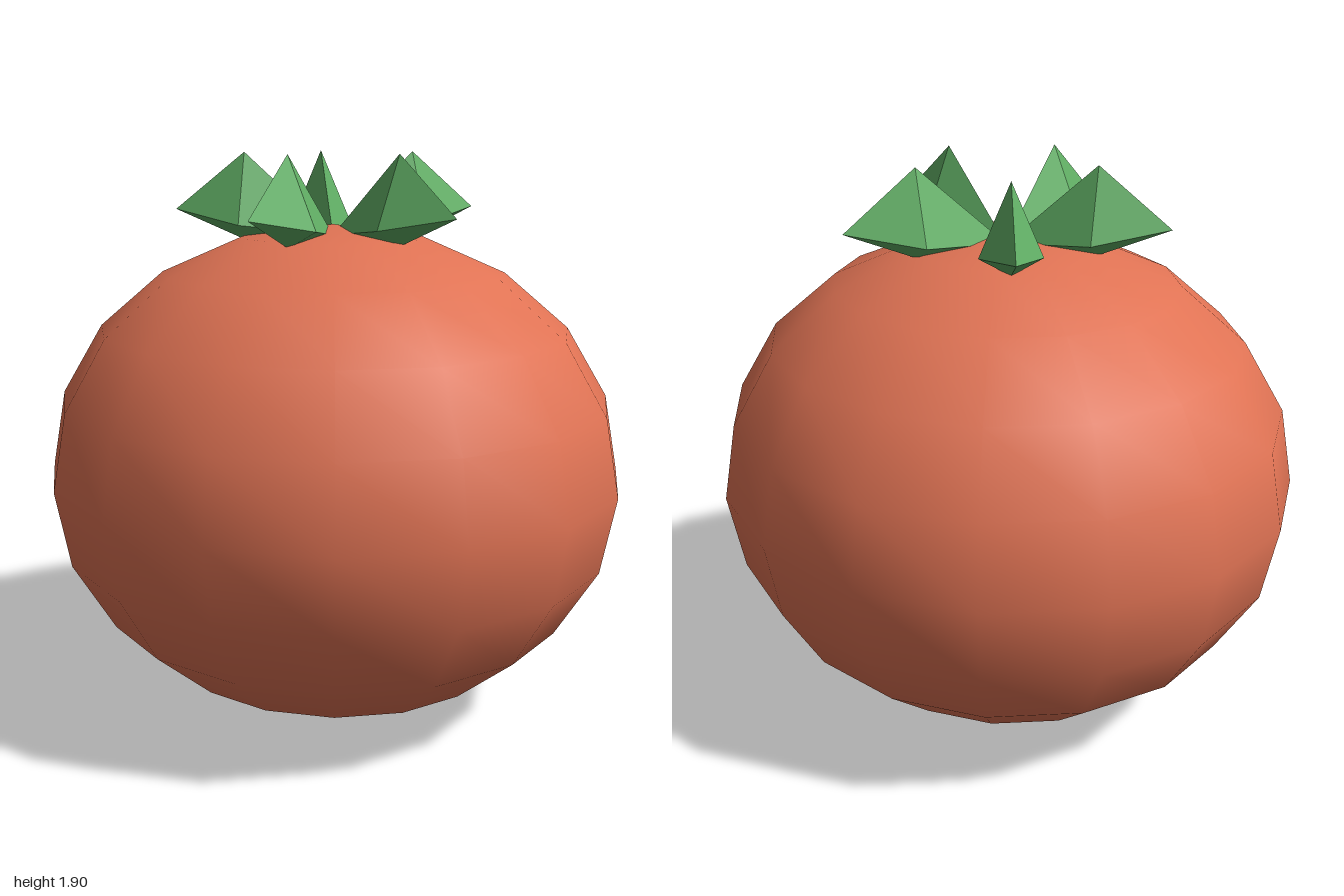
import * as THREE from 'three';
import { ConvexGeometry } from 'three/addons/geometries/ConvexGeometry.js';

export function createModel() {
  const model = new THREE.Group();
  model.name = 'tomato';

  const skin = new THREE.MeshStandardMaterial({ color: 0xe07354 });
  skin.name = 'tomatoRed';
  const green = new THREE.MeshStandardMaterial({ color: 0x62b066, flatShading: true });
  green.name = 'leafGreen';

  // Squashed round fruit, smooth with a coarse outline
  const fruitGeometry = new THREE.SphereGeometry(1, 16, 10);
  fruitGeometry.scale(1, 0.833, 0.957);
  const fruit = new THREE.Mesh(fruitGeometry, skin);
  fruit.name = 'fruit';
  fruit.position.y = 0.833;
  model.add(fruit);

  // Faceted leaf pointing along +x, its root sunk into the fruit
  const leafGeometry = new ConvexGeometry([
    new THREE.Vector3(0, 1.63, 0),       // root
    new THREE.Vector3(0.54, 1.71, 0),    // tip
    new THREE.Vector3(0.3, 1.9, 0),      // crest
    new THREE.Vector3(0.3, 1.61, 0),     // keel
    new THREE.Vector3(0.3, 1.665, 0.1),  // sides
    new THREE.Vector3(0.3, 1.665, -0.1),
  ]);

  // Crown of five leaves
  const crown = new THREE.Group();
  crown.name = 'leafCrown';
  for (let i = 0; i < 5; i++) {
    const leaf = new THREE.Mesh(leafGeometry, green);
    leaf.name = `leaf${i + 1}`;
    leaf.rotation.y = (i * Math.PI * 2) / 5;
    crown.add(leaf);
  }
  model.add(crown);

  return model;
}
